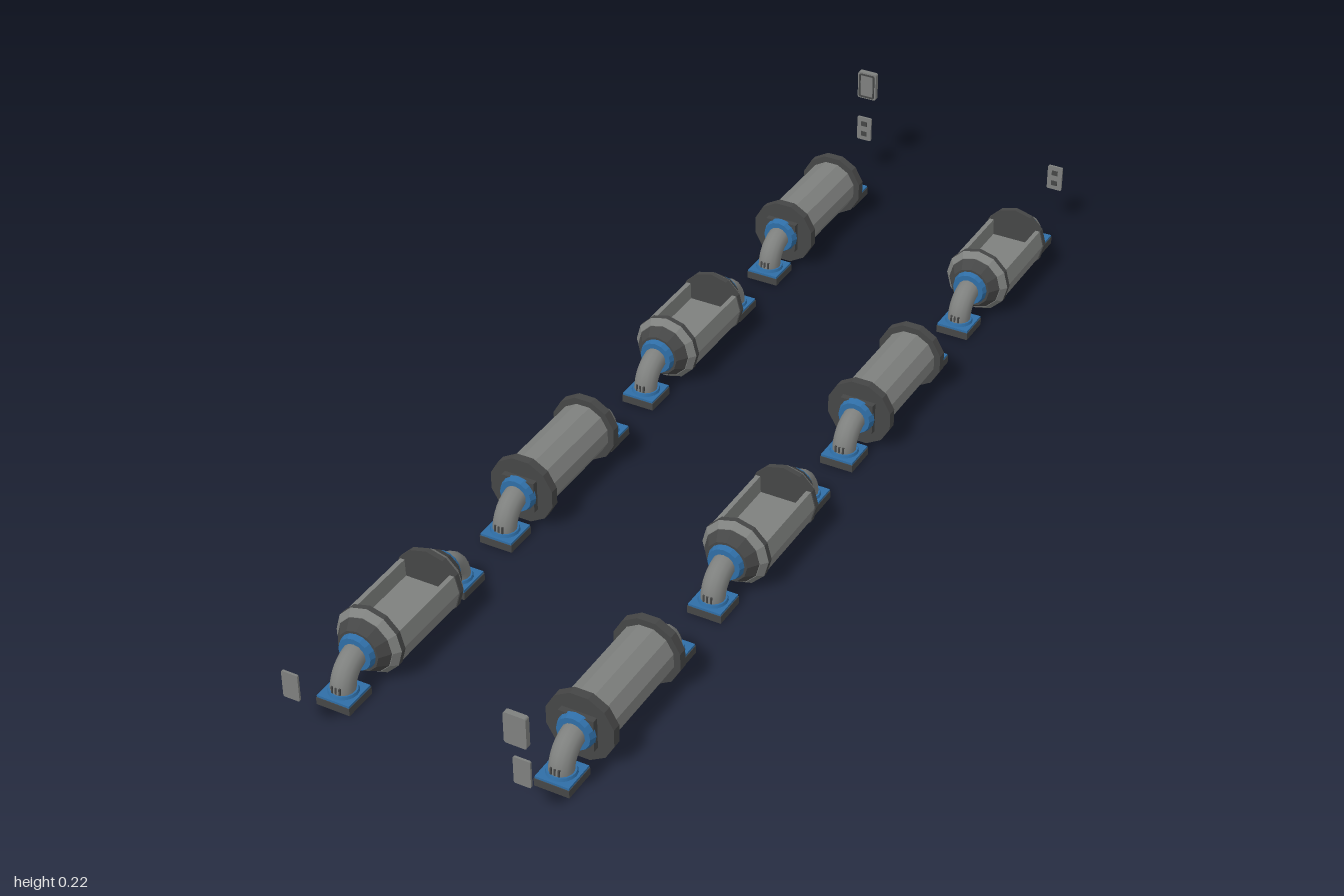
import * as THREE from 'three';

const mat = (name, color, extra = {}) => {
  const m = new THREE.MeshStandardMaterial({ color, ...extra });
  m.name = name;
  return m;
};

export function createModel() {
  const grey = mat('steelGrey', 0x7e807e);
  const dark = mat('darkGrey', 0x454646);
  const blue = mat('blue', 0x2f6ea6);
  const AXIS = 0.0635; // height of the pipe axis

  const add = (parent, name, geo, material, x = 0, y = 0, z = 0) => {
    const m = new THREE.Mesh(geo, material);
    m.name = name;
    m.position.set(x, y, z);
    parent.add(m);
    return m;
  };
  const box = (w, h, d) => new THREE.BoxGeometry(w, h, d);
  // faceted drum along z, r1 at the -z end and r2 at the +z end
  const drum = (r1, r2, len, sides = 12, turn = 0) => {
    const g = new THREE.CylinderGeometry(r2, r1, len, sides).rotateY(turn).rotateX(Math.PI / 2);
    const flat = g.toNonIndexed();
    flat.computeVertexNormals();
    return flat;
  };
  const extrude = (shape, depth) =>
    new THREE.ExtrudeGeometry(shape, { depth, bevelEnabled: false, curveSegments: 5 });
  // rounded rectangle outline, centred
  const rounded = (w, h, r, Type = THREE.Shape) => {
    const s = new Type(), a = w / 2 - r, b = h / 2 - r;
    s.absarc(a, b, r, 0, Math.PI / 2);
    s.absarc(-a, b, r, Math.PI / 2, Math.PI);
    s.absarc(-a, -b, r, Math.PI, Math.PI * 1.5);
    s.absarc(a, -b, r, Math.PI * 1.5, Math.PI * 2);
    s.closePath();
    return s;
  };
  const frame = (w, h, r, t, depth) => {
    const s = rounded(w, h, r);
    s.holes.push(rounded(w - 2 * t, h - 2 * t, r - t, THREE.Path));
    return extrude(s, depth);
  };

  // elbow, collar and foot at the +z end
  const outlet = () => {
    const g = new THREE.Group();
    g.name = 'outlet';
    add(g, 'collar', drum(0.034, 0.03, 0.012, 16), blue, 0, AXIS, 0.124);
    const elbow = add(g, 'elbow', new THREE.TorusGeometry(0.0435, 0.021, 14, 8, Math.PI / 2), grey, 0, 0.02, 0.122);
    elbow.rotation.y = -Math.PI / 2;
    add(g, 'foot', box(0.062, 0.014, 0.062), dark, 0, 0.007, 0.165);
    add(g, 'footPlate', box(0.06, 0.004, 0.06), blue, 0, 0.016, 0.165);
    const ring = add(g, 'footRing', new THREE.CylinderGeometry(0.024, 0.026, 0.006, 16), blue, 0, 0.02, 0.165);
    ring.name = 'footRing';
    for (const x of [-0.007, 0, 0.007])
      add(g, 'elbowVent', box(0.003, 0.012, 0.004), dark, x, 0.03, 0.184);
    return g;
  };

  // both ends of a unit, mirrored by a half turn
  const bothEnds = (parent, build) => {
    for (const a of [0, Math.PI]) {
      const end = new THREE.Group();
      end.name = a ? 'backEnd' : 'frontEnd';
      end.rotation.y = a;
      build(end);
      end.add(outlet());
      parent.add(end);
    }
  };

  // closed drum with raised slot frames
  const slottedUnit = () => {
    const g = new THREE.Group();
    g.name = 'slottedUnit';
    const turn = Math.PI / 12;
    add(g, 'drumBody', drum(0.05, 0.05, 0.21, 12, turn), grey, 0, AXIS, 0);
    for (let i = 0; i < 6; i++) {
      const holder = new THREE.Group();
      holder.name = 'slot';
      holder.position.y = AXIS;
      holder.rotation.z = i * Math.PI / 3;
      const f = add(holder, 'slotFrame', frame(0.021, 0.14, 0.0104, 0.005, 0.007), dark, 0.047, 0, 0);
      f.geometry.rotateX(Math.PI / 2).rotateZ(-Math.PI / 2);
      g.add(holder);
    }
    bothEnds(g, (e) => {
      add(e, 'flange', drum(0.062, 0.062, 0.016, 12, turn), dark, 0, AXIS, 0.102);
      add(e, 'endBlock', box(0.062, 0.058, 0.012), dark, 0, AXIS, 0.115);
    });
    return g;
  };

  // drum cut open along the top with tapered ends
  const openUnit = () => {
    const g = new THREE.Group();
    g.name = 'openUnit';
    const R = 0.0595, pts = [];
    for (let i = 0; i <= 8; i++) {
      const a = Math.PI * (5 / 6 + i / 6);
      pts.push(new THREE.Vector2(R * Math.cos(a), R * Math.sin(a)));
    }
    const rim = R / 2;
    pts.push(new THREE.Vector2(0.043, rim), new THREE.Vector2(0.042, -0.002),
      new THREE.Vector2(-0.042, -0.002), new THREE.Vector2(-0.043, rim));
    const trough = extrude(new THREE.Shape(pts), 0.17).translate(0, 0, -0.085);
    add(g, 'trough', trough, grey, 0, AXIS, 0);
    bothEnds(g, (e) => {
      const t = Math.PI / 6;
      add(e, 'endRing', drum(0.0615, 0.0615, 0.01, 12, t), dark, 0, AXIS, 0.084);
      add(e, 'taperRing', drum(0.0615, 0.052, 0.012, 12, t), grey, 0, AXIS, 0.095);
      add(e, 'endCap', drum(0.051, 0.038, 0.019, 12, t), dark, 0, AXIS, 0.1105);
    });
    return g;
  };

  const model = new THREE.Group();
  model.name = 'pipeSet';

  // two rows of alternating units
  for (const [col, x] of [-0.198, 0.198].entries()) {
    for (let i = 0; i < 4; i++) {
      const unit = (i + col) % 2 ? openUnit() : slottedUnit();
      unit.position.set(x, 0, -0.717 + 0.475 * i);
      model.add(unit);
    }
  }

  // wall plates face inward (local +z)
  const plate = (name, w, h, d, x, y, z) => {
    const g = new THREE.Group();
    g.name = name;
    g.position.set(x, y, z);
    if (z > 0) g.rotation.y = Math.PI;
    add(g, 'backing', extrude(rounded(w, h, w * 0.1), d).translate(0, 0, -d / 2), grey);
    model.add(g);
    return g;
  };
  for (const [x, z] of [[-0.2125, -0.995], [0.201, 0.995]]) {
    const p = plate('largePanel', 0.039, 0.057, 0.01, x, 0.1935, z);
    add(p, 'panelFrame', frame(0.033, 0.051, 0.004, 0.003, 0.003), dark, 0, 0, 0.004);
  }
  for (const x of [-0.2115, 0.2]) {
    for (const z of [-0.983, 0.983]) {
      const p = plate('smallPanel', 0.03, 0.05, 0.004, x, 0.102, z);
      for (const y of [-0.011, 0.011])
        add(p, 'panelInset', box(0.012, 0.01, 0.002), dark, 0, y, 0.002);
    }
  }
  return model;
}
